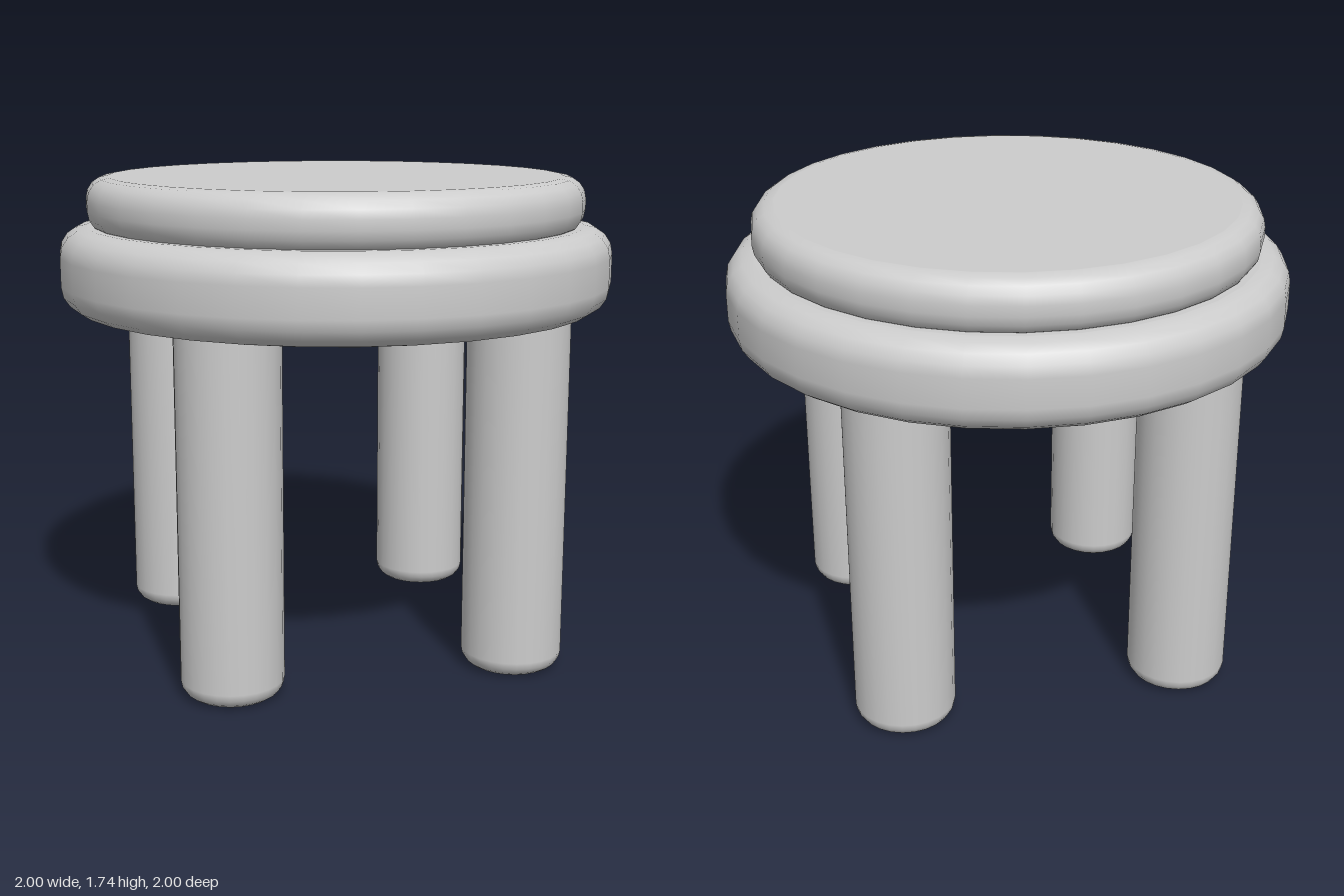
import * as THREE from 'three';

// Solid disc of revolution with rounded rims; bevel radii may differ at bottom and top
function roundedDisc(radius, y0, y1, bevelBottom, bevelTop, sides, steps = 4) {
  const points = [new THREE.Vector2(0, y0), new THREE.Vector2(radius - bevelBottom - 0.004, y0)];
  for (let i = 0; i <= steps; i++) {
    const a = (i / steps) * Math.PI / 2;
    points.push(new THREE.Vector2(
      radius - bevelBottom * (1 - Math.sin(a)), y0 + bevelBottom * (1 - Math.cos(a))));
  }
  for (let i = 0; i <= steps; i++) {
    const a = (i / steps) * Math.PI / 2;
    points.push(new THREE.Vector2(
      radius - bevelTop * (1 - Math.cos(a)), y1 - bevelTop * (1 - Math.sin(a))));
  }
  points.push(new THREE.Vector2(radius - bevelTop - 0.004, y1), new THREE.Vector2(0, y1));
  return new THREE.LatheGeometry(points, sides);
}

export function createModel() {
  const model = new THREE.Group();
  model.name = 'stool';
  const grey = new THREE.MeshStandardMaterial({ color: 0xcccccc });
  grey.name = 'light grey';

  const add = (name, geometry, x = 0, z = 0) => {
    const mesh = new THREE.Mesh(geometry, grey);
    mesh.name = name;
    mesh.position.set(x, 0, z);
    model.add(mesh);
  };

  // Seat base and the smaller cushion resting on it
  add('seatBase', roundedDisc(1, 1.26, 1.56, 0.1, 0.1, 32));
  add('cushion', roundedDisc(0.9, 1.54, 1.735, 0.08, 0.08, 32));

  // Four straight legs with rounded feet, sunk slightly into the seat
  const leg = roundedDisc(0.18, 0, 1.3, 0.06, 0.01, 24);
  for (const [side, x] of [['Left', 0.515], ['Right', -0.515]]) {
    add('front' + side + 'Leg', leg, x, 0.515);
    add('back' + side + 'Leg', leg, x, -0.515);
  }
  return model;
}
